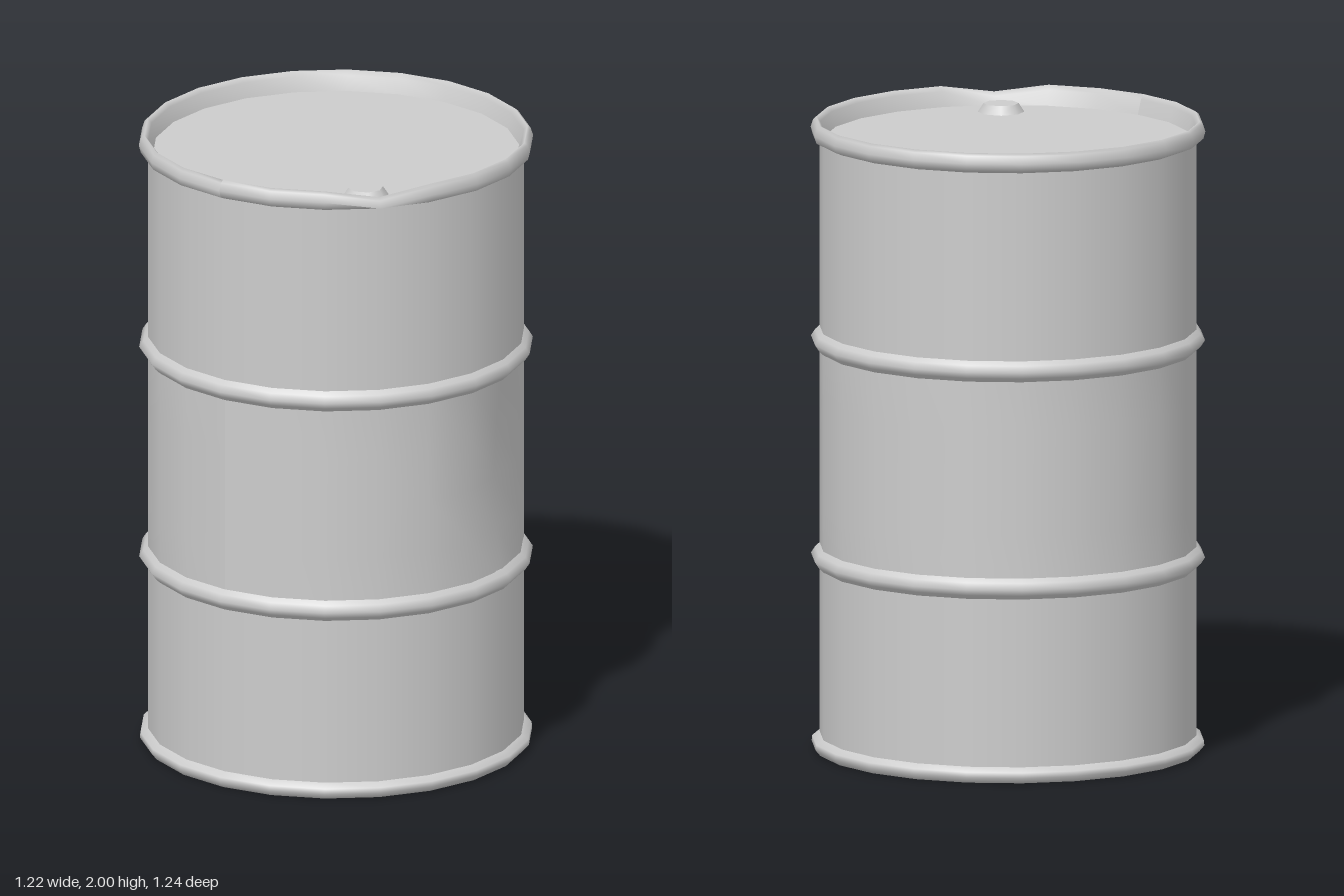
import * as THREE from 'three';

const SIDES = 22;

export function createModel() {
  const drum = new THREE.Group();
  drum.name = 'drum';
  const steel = new THREE.MeshStandardMaterial({ color: 0xcccccc });
  steel.name = 'bare steel';

  // Turned part from [radius, height] pairs; an optional rule moves its vertices
  function turned(name, profile, rule) {
    const geo = new THREE.LatheGeometry(profile.map(([r, y]) => new THREE.Vector2(r, y)), SIDES);
    if (rule) {
      const p = geo.attributes.position;
      const v = new THREE.Vector3();
      for (let i = 0; i < p.count; i++) {
        rule(v.fromBufferAttribute(p, i));
        p.setXYZ(i, v.x, v.y, v.z);
      }
      geo.computeVertexNormals();
    }
    const mesh = new THREE.Mesh(geo, steel);
    mesh.name = name;
    drum.add(mesh);
    return mesh;
  }

  // Shallow dent in the left side of the middle wall
  const dent = (v) => {
    const d = Math.hypot((v.y - 0.95) / 0.33, (v.z + 0.1) / 0.2);
    if (v.x > 0 && d < 1) v.x -= 0.035 * (1 - d * d);
  };

  // Three wall panels between the hoops
  turned('lowerWall', [[0.59, 0.04], [0.59, 0.3], [0.59, 0.6]]);
  turned('middleWall', [[0.59, 0.6], [0.59, 0.78], [0.59, 0.95], [0.59, 1.12], [0.59, 1.3]], dent);
  turned('upperWall', [[0.59, 1.3], [0.59, 1.6], [0.59, 1.95]]);

  // Rolling hoops
  for (const [name, y] of [['lowerHoop', 0.615], ['upperHoop', 1.305]]) {
    turned(name, [[0.588, y - 0.035], [0.604, y - 0.02], [0.617, y], [0.604, y + 0.02], [0.588, y + 0.035]]);
  }

  // Bottom chime, rolled over to the recessed base
  turned('bottomRim', [[0.575, 0.035], [0.585, 0.008], [0.6, 0], [0.615, 0.018], [0.613, 0.035], [0.588, 0.05]]);

  // Top chime with a small knock above the bung
  const knock = (v) => {
    const d = Math.hypot(v.x - 0.46, v.z - 0.4) / 0.16;
    if (d < 1 && v.y > 1.95) v.y -= 0.025 * (1 - d);
  };
  turned('topRim', [[0.588, 1.935], [0.612, 1.945], [0.618, 1.968], [0.61, 1.992], [0.6, 2], [0.588, 1.985], [0.573, 1.935]], knock);

  // Recessed lid and base discs
  for (const [name, y, tilt] of [['lid', 1.938, -1], ['base', 0.03, 1]]) {
    const disc = new THREE.Mesh(new THREE.CircleGeometry(0.586, SIDES), steel);
    disc.name = name;
    disc.position.y = y;
    disc.rotation.set(tilt * Math.PI / 2, 0, tilt * Math.PI / 2);
    drum.add(disc);
  }

  // Bung in the lid
  const bung = new THREE.Mesh(new THREE.CylinderGeometry(0.055, 0.075, 0.03, 8), steel);
  bung.name = 'bung';
  bung.position.set(0.34, 1.95, 0.31);
  drum.add(bung);

  return drum;
}
